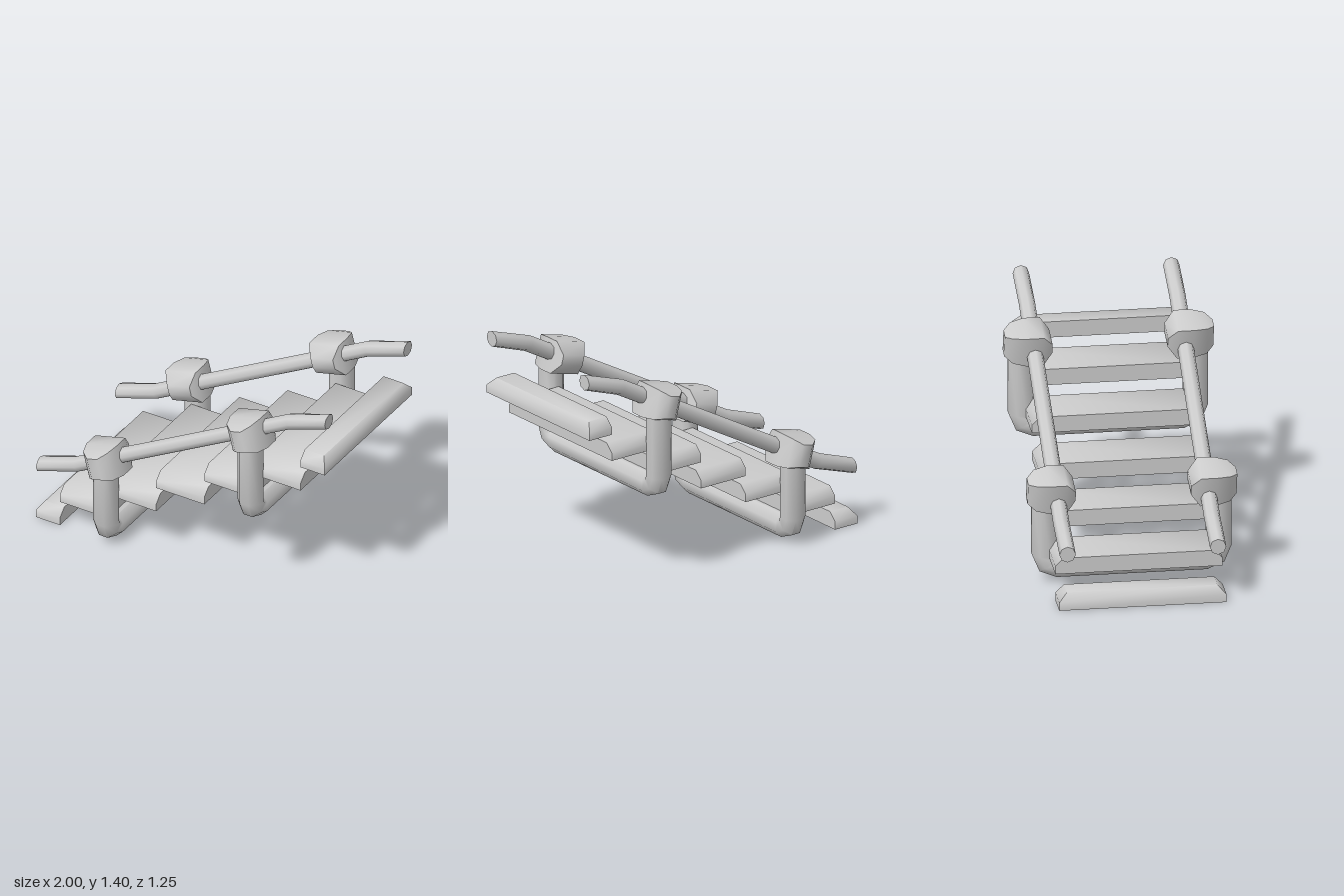
import * as THREE from 'three';
import { toCreasedNormals } from 'three/addons/utils/BufferGeometryUtils.js';

const material = new THREE.MeshStandardMaterial({ color: 0xcccccc });
const SIDES = 8;
const CREASE = 1.0;

// Octagonal tube through rings [x, y, angle of the ring's outward axis in degrees]
function sweep(rings, radius, phase) {
  const pos = [], index = [];
  for (const [x, y, deg] of rings) {
    const a = THREE.MathUtils.degToRad(deg);
    for (let j = 0; j < SIDES; j++) {
      const p = phase + (j / SIDES) * Math.PI * 2;
      const r = radius * Math.cos(p);
      pos.push(x + r * Math.cos(a), y + r * Math.sin(a), radius * Math.sin(p));
    }
  }
  for (let i = 0; i < rings.length - 1; i++) {
    for (let j = 0; j < SIDES; j++) {
      const k = (j + 1) % SIDES;
      const a = i * SIDES + j, b = i * SIDES + k;
      index.push(a, b, a + SIDES, b, b + SIDES, a + SIDES);
    }
  }
  // flat ends
  const last = (rings.length - 1) * SIDES;
  for (let j = 1; j < SIDES - 1; j++) {
    index.push(0, j + 1, j, last, last + j, last + j + 1);
  }
  const geo = new THREE.BufferGeometry();
  geo.setAttribute('position', new THREE.Float32BufferAttribute(pos, 3));
  geo.setIndex(index);
  return toCreasedNormals(geo, CREASE);
}

// Plank with chamfered top at both ends; endDir also chamfers one long edge
function treadGeometry(width, endDir) {
  const geo = new THREE.BoxGeometry(width, 0.1, 1, 1, 2, 1);
  const p = geo.attributes.position;
  for (let i = 0; i < p.count; i++) {
    if (p.getY(i) < 0.04) continue;
    p.setZ(i, Math.sign(p.getZ(i)) * 0.45);
    if (endDir && Math.sign(p.getX(i)) === endDir) p.setX(i, p.getX(i) - endDir * 0.035);
  }
  return toCreasedNormals(geo, CREASE);
}

// Clamp block lofted along z: [z offset, half width, half height]
function clampGeometry() {
  const sections = [
    [-0.145, 0.08, 0.03], [-0.09, 0.107, 0.1], [0.01, 0.107, 0.1],
    [0.09, 0.085, 0.09], [0.135, 0.035, 0.07],
  ];
  const n = sections.length - 1;
  const geo = new THREE.BoxGeometry(2, 2, n, 1, 1, n);
  const p = geo.attributes.position;
  for (let i = 0; i < p.count; i++) {
    const [z, w, h] = sections[Math.round(p.getZ(i) + n / 2)];
    p.setXYZ(i, p.getX(i) * w, p.getY(i) * h, z);
  }
  return toCreasedNormals(geo, CREASE);
}

export function createModel() {
  const model = new THREE.Group();
  const add = (name, geo, x, y, z) => {
    const mesh = new THREE.Mesh(geo, material);
    mesh.name = name;
    mesh.position.set(x, y, z);
    model.add(mesh);
    return mesh;
  };

  // Seven treads, the first and last half as wide
  for (let i = 0; i < 7; i++) {
    const end = i === 0 ? -1 : i === 6 ? 1 : 0;
    const x = (i - 3) / 3 - end / 12;
    add('tread' + (i + 1), treadGeometry(end ? 1 / 6 : 1 / 3, end), x, 0.05 + i / 6, 0);
  }

  // U-shaped support hoops, rounded about the inner corners
  const pivotZ = 0.45, pivotY = 0.17, r = 0.0725;
  const half = [[pivotZ + r, 0.58, 0]];
  for (const deg of [0, -45, -90]) {
    const a = THREE.MathUtils.degToRad(deg);
    half.push([pivotZ + r * Math.cos(a), pivotY + r * Math.sin(a), deg]);
  }
  const hoopRings = [...half, ...half.map(([z, y, a]) => [-z, y, -180 - a]).reverse()];
  const hoop = sweep(hoopRings, r / Math.cos(Math.PI / 8), Math.PI / 8);
  hoop.rotateY(-Math.PI / 2);
  add('lowerHoop', hoop, -0.5, 0, 0);
  add('upperHoop', hoop, 0.5, 0.5, 0);

  // Handrails with flatter ends, and the clamps joining them to the hoops
  const rail = sweep([
    [-1, 0.355, 90], [-0.735, 0.445, 114], [0.735, 1.265, 114], [1, 1.355, 90],
  ], 0.049, 0);
  const clamp = clampGeometry();
  for (const side of [1, -1]) {
    const label = side > 0 ? 'front' : 'back';
    add(label + 'Handrail', rail, 0, 0, side * 0.45);
    for (const [level, x, y] of [['Lower', -0.52, 0.58], ['Upper', 0.474, 1.125]]) {
      const mesh = add(label + level + 'Clamp', clamp, x, y, side * 0.49);
      // half turn about the tilted upright axis mirrors the clamp
      mesh.rotation.set(0, side > 0 ? 0 : Math.PI, THREE.MathUtils.degToRad(14.5), 'ZYX');
    }
  }
  return model;
}
